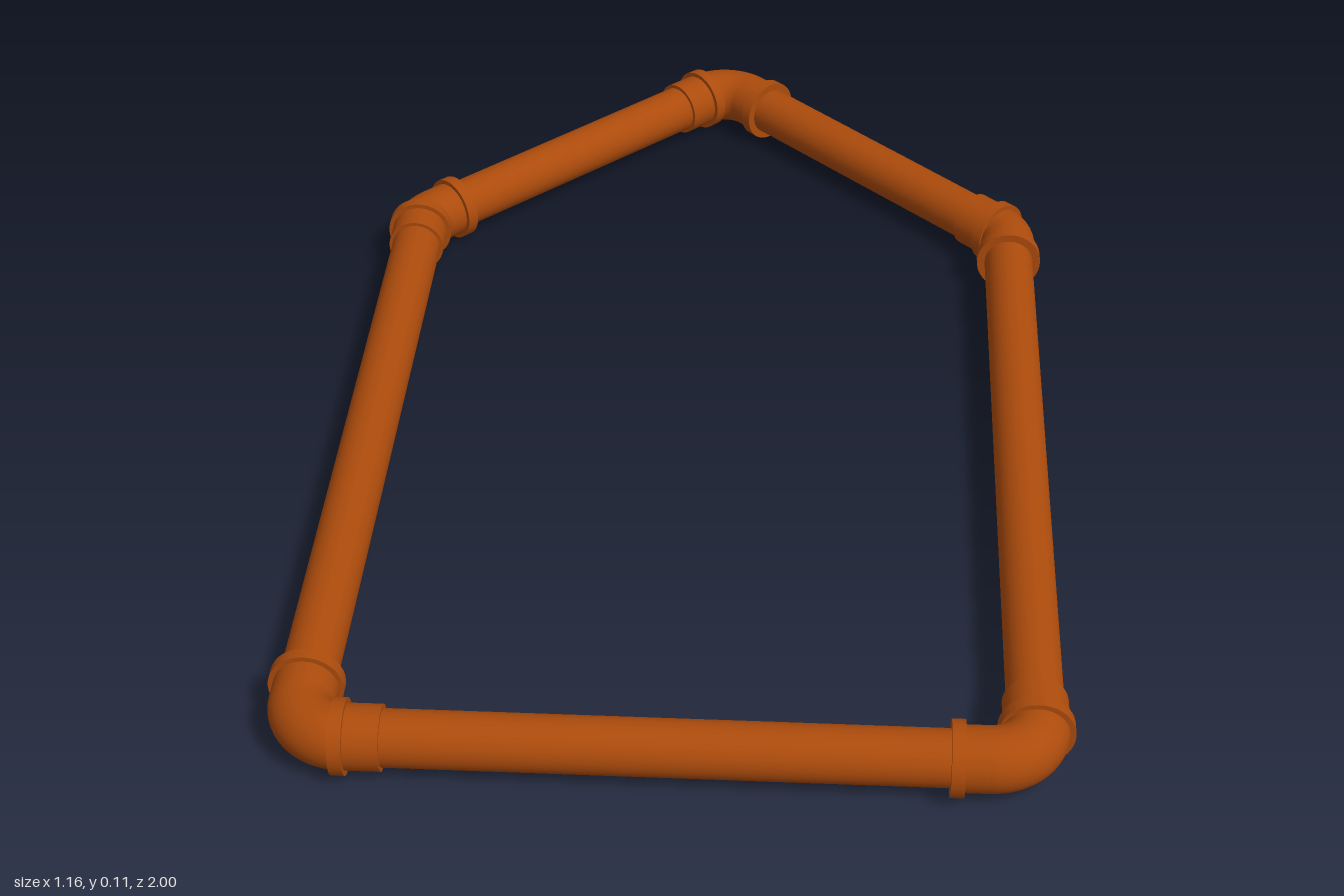
import * as THREE from 'three';

const Y = 0.056;        // height of the pipe axis
const PIPE_R = 0.042;
const SLEEVE_R = 0.048;
const COLLAR_R = 0.0555;
const BEND_R = 0.068;
const SIDES = 40;

// Circular arc that turns a corner in the ground plane
class BendCurve extends THREE.Curve {
  constructor(start, dir, angle) {
    super();
    Object.assign(this, { start, dir, angle, normal: new THREE.Vector3(dir.z, 0, -dir.x) });
  }
  getPoint(t, target = new THREE.Vector3()) {
    const a = t * this.angle;
    return target.copy(this.start)
      .addScaledVector(this.normal, BEND_R * (1 - Math.cos(a)))
      .addScaledVector(this.dir, BEND_R * Math.sin(a));
  }
}

export function createModel() {
  const model = new THREE.Group();
  model.name = 'pipeLoop';
  const clay = new THREE.MeshStandardMaterial({ color: 0xac4b0c });
  clay.name = 'burnt orange';

  // Capped cylinder between two points
  function rod(parent, name, a, b, radius) {
    const span = b.clone().sub(a);
    const mesh = new THREE.Mesh(new THREE.CylinderGeometry(radius, radius, span.length(), SIDES), clay);
    mesh.name = name;
    mesh.position.copy(a).add(b).multiplyScalar(0.5);
    mesh.quaternion.setFromUnitVectors(new THREE.Vector3(0, 1, 0), span.normalize());
    parent.add(mesh);
  }

  // Corners in order around the house-shaped loop
  const corners = [[-0.525, 0.942], [0.525, 0.942], [0.525, -0.453], [0, -0.978], [-0.525, -0.453]]
    .map(([x, z]) => new THREE.Vector3(x, Y, z));
  const names = ['frontRight', 'frontLeft', 'backLeft', 'backApex', 'backRight'];
  const pipeNames = ['frontPipe', 'leftPipe', 'backLeftPipe', 'backRightPipe', 'rightPipe'];
  const n = corners.length;
  const dirs = corners.map((c, i) => corners[(i + 1) % n].clone().sub(c).normalize());
  const along = (p, d, s) => p.clone().addScaledVector(d, s);

  corners.forEach((corner, i) => {
    const inDir = dirs[(i + n - 1) % n], outDir = dirs[i];
    const angle = inDir.angleTo(outDir);
    const tangent = BEND_R * Math.tan(angle / 2);
    const nextAngle = outDir.angleTo(dirs[(i + 1) % n]);
    const nextTangent = BEND_R * Math.tan(nextAngle / 2);

    // Straight pipe, ending inside the fittings
    rod(model, pipeNames[i], along(corner, outDir, tangent),
      along(corners[(i + 1) % n], outDir, -nextTangent), PIPE_R);

    // Elbow fitting: inlet socket, bend, outlet sleeve
    const elbow = new THREE.Group();
    elbow.name = names[i] + 'Elbow';
    const start = along(corner, inDir, -tangent);
    const end = along(corner, outDir, tangent);
    const bend = new THREE.Mesh(
      new THREE.TubeGeometry(new BendCurve(start, inDir, angle), 16, SLEEVE_R, SIDES), clay);
    bend.name = 'bend';
    elbow.add(bend);
    rod(elbow, 'inletSocket', along(start, inDir, -0.05), start, SLEEVE_R);
    rod(elbow, 'inletCollar', along(start, inDir, -0.055), along(start, inDir, -0.035), COLLAR_R);
    rod(elbow, 'outletCollar', along(end, outDir, -0.013), along(end, outDir, 0.007), COLLAR_R);
    rod(elbow, 'outletSleeve', end, along(end, outDir, 0.058), SLEEVE_R);
    model.add(elbow);
  });

  return model;
}
